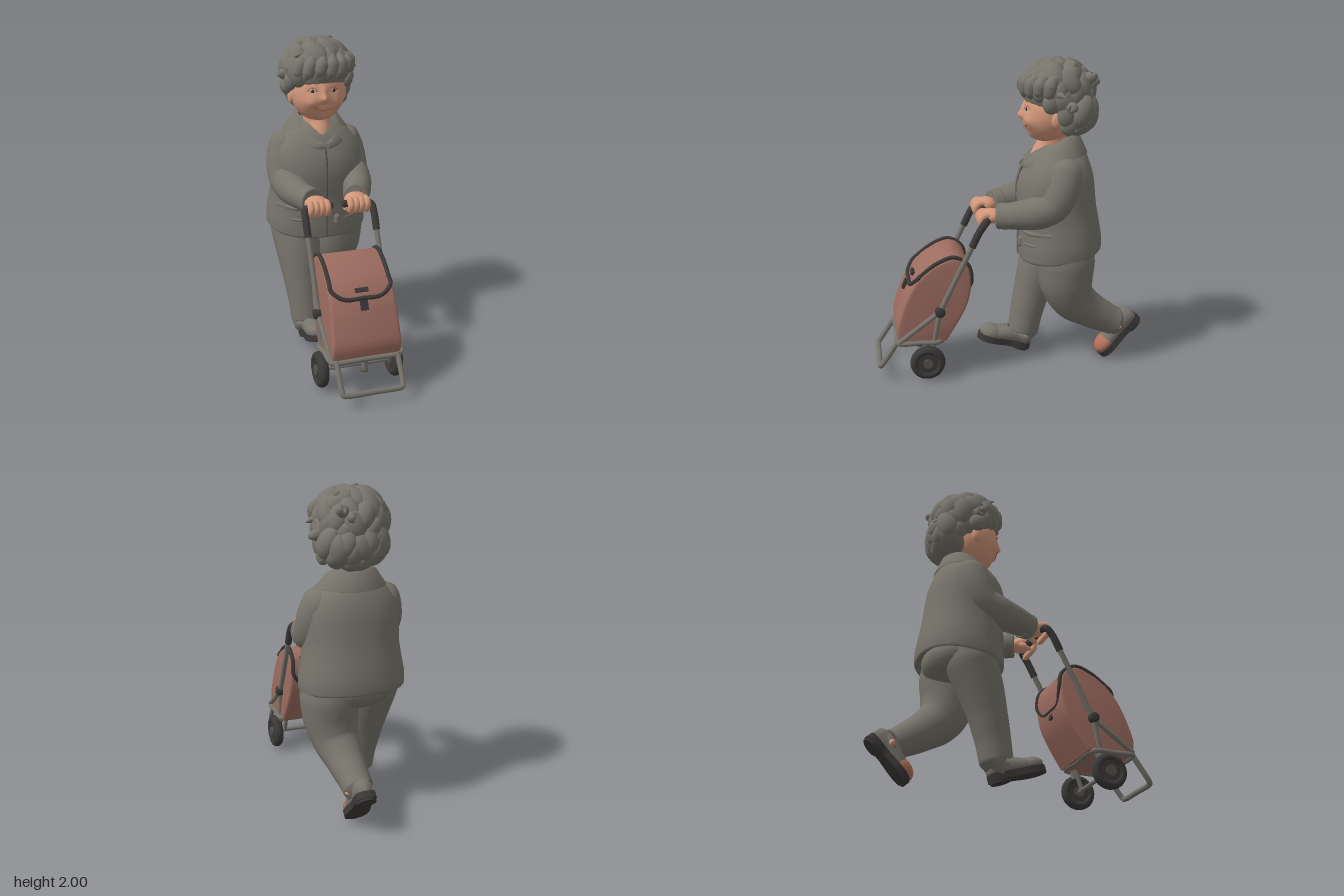
import * as THREE from 'three';
import { mergeVertices, toCreasedNormals } from 'three/addons/utils/BufferGeometryUtils.js';

const V = (x, y, z) => new THREE.Vector3(x, y, z);
const flat = (pts) => pts.map((p) => new THREE.Vector2(...p));
const paint = (name, color, side = THREE.FrontSide) => Object.assign(new THREE.MeshStandardMaterial({ color, side }), { name });

export function createModel() {
  const cloth = paint('greyCloth', 0x77746b, THREE.DoubleSide), hairMat = paint('greyHair', 0x76746b);
  const seamMat = paint('darkGreySeam', 0x54524c), skin = paint('skin', 0xd2977a), lip = paint('lip', 0xa56a56);
  const white = paint('eyeWhite', 0xb9b3a8), dark = paint('darkRubber', 0x3b3938), bagMat = paint('redBrownCanvas', 0x9c6c60);
  const metal = paint('greyMetal', 0x75726a), toeMat = paint('tanLeather', 0xb0705a);
  const group = (name, parent) => {
    const g = Object.assign(new THREE.Group(), { name });
    if (parent) parent.add(g);
    return g;
  };
  const root = group('walkerWithShoppingTrolley');
  const add = (name, geo, mat, parent = root) => {
    const m = Object.assign(new THREE.Mesh(geo, mat), { name });
    parent.add(m);
    return m;
  };
  const blob = (name, mat, p, s, parent = root) => {
    const m = add(name, new THREE.SphereGeometry(1, 24, 16), mat, parent);
    m.position.set(...p);
    m.scale.set(...s);
    return m;
  };
  // Tube whose radius changes from point to point; points are [x, y, z, r]
  const limb = (pts, seg = 28, sides = 20) => {
    const curve = new THREE.CatmullRomCurve3(pts.map((p) => V(p[0], p[1], p[2])), false, 'centripetal');
    curve.getUtoTmapping = (u) => u;
    const g = new THREE.TubeGeometry(curve, seg, 1, sides), pos = g.attributes.position, v = V(0, 0, 0);
    for (let n = 0; n < pos.count; n++) {
      const t = Math.floor(n / (sides + 1)) / seg, f = t * (pts.length - 1), k = Math.min(Math.floor(f), pts.length - 2);
      const c = curve.getPoint(t);
      v.fromBufferAttribute(pos, n).sub(c).multiplyScalar(THREE.MathUtils.lerp(pts[k][3], pts[k + 1][3], f - k)).add(c);
      pos.setXYZ(n, v.x, v.y, v.z);
    }
    g.deleteAttribute('uv');
    g.deleteAttribute('normal');
    const w = mergeVertices(g, 1e-5);
    w.computeVertexNormals();
    return w;
  };
  const rod = (pts, r, closed = false, seg = 40) =>
    new THREE.TubeGeometry(new THREE.CatmullRomCurve3(pts.map((p) => V(...p)), closed, 'centripetal'), seg, r, 10, closed);
  const bar = (name, a, b, r, mat, parent) => add(name, new THREE.TubeGeometry(new THREE.LineCurve3(V(...a), V(...b)), 1, r, 10), mat, parent);
  // Skin over a grid of points, optionally joined round
  const grid = (rows, n, closed, at) => {
    const p = [], idx = [], g = new THREE.BufferGeometry();
    for (let i = 0; i < rows; i++) for (let j = 0; j < n; j++) {
      p.push(...at(i, j));
      if (i === rows - 1 || (!closed && j === n - 1)) continue;
      const A = i * n + j, B = i * n + ((j + 1) % n);
      idx.push(A, B, A + n, B, B + n, A + n);
    }
    g.setAttribute('position', new THREE.Float32BufferAttribute(p, 3));
    g.setIndex(idx);
    g.computeVertexNormals();
    return g;
  };
  // Stacked rounded sections, each [y, centreZ, radiusX, radiusZ]
  const loft = (rows, pow, n) => grid(rows.length, n, true, (i, j) => {
    const [y, cz, rx, rz] = rows[i], a = (j / n) * Math.PI * 2, sq = (t) => Math.sign(t) * Math.abs(t) ** pow;
    return [sq(Math.sin(a)) * rx, y, cz + sq(Math.cos(a)) * rz];
  });

  // Jacket body, hem rising toward the back
  const jacket = loft([[0.82, -0.325, 0.01, 0.01], [0.79, -0.325, 0.28, 0.23], [0.755, -0.325, 0.315, 0.258], [0.77, -0.325, 0.326, 0.267],
    [0.85, -0.325, 0.326, 0.265], [0.95, -0.32, 0.308, 0.255], [1.05, -0.305, 0.296, 0.252], [1.13, -0.297, 0.298, 0.25], [1.2, -0.295, 0.3, 0.245],
    [1.27, -0.3, 0.293, 0.23], [1.33, -0.307, 0.268, 0.205], [1.38, -0.312, 0.226, 0.182], [1.42, -0.315, 0.18, 0.155], [1.46, -0.32, 0.125, 0.11], [1.48, -0.32, 0.01, 0.01]], 0.9, 40);
  const jp = jacket.attributes.position;
  for (let i = 0; i < jp.count; i++) jp.setY(i, jp.getY(i) - 0.13 * Math.max(0, 1 - (jp.getY(i) - 0.75) / 0.35) * (jp.getZ(i) + 0.325));
  jacket.computeVertexNormals();
  add('jacket', jacket, cloth);
  add('zip', rod([[0, 1.33, -0.09], [0, 1.2, -0.052], [0, 1.05, -0.053], [0, 0.95, -0.066], [0, 0.84, -0.061], [0, 0.735, -0.06]], 0.0055), seamMat);
  add('zipPull', new THREE.CapsuleGeometry(0.02, 0.035, 4, 12), cloth).position.set(0.07, 0.84, -0.066);
  // Fold-over collar, open in a V at the front: rows of [radiusX, y, radiusZ, drop, frontReach]
  const folds = [[0.112, 1.52, 0.11, 0.17, 0.1], [0.15, 1.505, 0.14, 0.155, 0.09], [0.215, 1.405, 0.185, 0.085, 0.055], [0.205, 1.395, 0.17, 0.085, 0.05]];
  add('collar', grid(4, 64, false, (i, j) => {
    const a = 0.08 + (j / 63) * (Math.PI * 2 - 0.16), c = Math.cos(a), f = ((1 + c) / 2) ** 3, [rx, y, rz, drop, reach] = folds[i];
    return [Math.sin(a) * rx, y - drop * f, -0.31 + c * (rz + reach * f)];
  }), cloth);

  for (const s of [-1, 1]) {
    // Sleeve, cuff and pocket
    add('sleeve', limb([[s * 0.12, 1.37, -0.32, 0.05], [s * 0.18, 1.31, -0.32, 0.118], [s * 0.212, 1.21, -0.295, 0.12], [s * 0.22, 1.11, -0.24, 0.115],
      [s * 0.218, 1.07, -0.14, 0.105], [s * 0.188, 1.05, -0.01, 0.088], [s * 0.155, 1.04, 0.07, 0.074], [s * 0.15, 1.04, 0.075, 0.001]], 42), cloth);
    add('cuff', limb([[s * 0.168, 1.042, 0.03, 0.06], [s * 0.166, 1.042, 0.035, 0.085], [s * 0.145, 1.04, 0.09, 0.08], [s * 0.143, 1.04, 0.095, 0.045]], 12), cloth);
    add('pocketFlap', rod([[s * 0.1, 0.92, -0.083], [s * 0.2, 0.925, -0.12], [s * 0.285, 0.935, -0.22]], 0.015), cloth);
    add('pocketEdge', rod([[s * 0.1, 0.84, -0.077], [s * 0.2, 0.85, -0.112], [s * 0.295, 0.86, -0.22]], 0.01), cloth);
    // Hand gripping the bar
    const hand = group('hand', root);
    blob('palm', skin, [s * 0.13, 1.038, 0.13], [0.074, 0.045, 0.07], hand);
    for (let i = 0; i < 4; i++) {
      const x = s * (0.076 + i * 0.035);
      add('finger', limb([[x, 1.05, 0.13, 0.012], [x, 1.052, 0.18, 0.022], [x, 1.022, 0.203, 0.023], [x, 0.985, 0.185, 0.022], [x, 0.966, 0.165, 0.001]], 16, 10), skin, hand);
    }
    add('thumb', limb([[s * 0.09, 1.03, 0.1, 0.018], [s * 0.06, 1.01, 0.13, 0.019], [s * 0.055, 0.99, 0.165, 0.016], [s * 0.055, 0.985, 0.175, 0.001]], 14, 10), skin, hand);
  }

  // Trousers and bare ankle
  add('frontLeg', limb([[-0.15, 0.86, -0.32, 0.14], [-0.15, 0.74, -0.29, 0.163], [-0.145, 0.58, -0.23, 0.145], [-0.14, 0.42, -0.18, 0.122],
    [-0.13, 0.26, -0.14, 0.108], [-0.125, 0.13, -0.115, 0.1], [-0.125, 0.135, -0.115, 0.001]], 36), cloth);
  add('rearLeg', limb([[0.14, 0.86, -0.34, 0.17], [0.145, 0.72, -0.345, 0.185], [0.14, 0.58, -0.35, 0.172], [0.125, 0.455, -0.4, 0.146],
    [0.105, 0.36, -0.51, 0.118], [0.09, 0.28, -0.64, 0.098], [0.085, 0.247, -0.7, 0.092], [0.085, 0.252, -0.69, 0.001]], 42), cloth);
  blob('rearAnkle', skin, [0.085, 0.242, -0.71], [0.092, 0.03, 0.025]);
  blob('seat', cloth, [0, 0.78, -0.36], [0.27, 0.14, 0.19]);

  // Shoes, modelled flat then pitched
  const soleShape = new THREE.Shape(flat([[0, -0.005]]));
  soleShape.splineThru(flat([[0.05, 0.01], [0.064, 0.07], [0.06, 0.15], [0.076, 0.26], [0.06, 0.33], [0, 0.362], [-0.06, 0.33], [-0.076, 0.26], [-0.06, 0.15], [-0.064, 0.07], [-0.05, 0.01], [0, -0.005]]));
  const shoe = (name, p, pitch, toe) => {
    const g = group(name, root);
    g.position.set(...p);
    g.rotation.x = pitch;
    add('upper', loft([[0, -0.07, 0.001, 0.001], [0.006, -0.08, 0.042, 0.05], [0.05, -0.09, 0.058, 0.068], [0.12, -0.09, 0.06, 0.066],
      [0.2, -0.078, 0.066, 0.058], [0.28, -0.068, 0.068, 0.048], [0.33, -0.06, 0.053, 0.036], [0.355, -0.055, 0.001, 0.001]], 1, 24).rotateX(Math.PI / 2), cloth, g);
    blob('toeCap', toe, [0, 0.072, 0.272], [0.073, 0.053, 0.084], g);
    const sole = new THREE.ExtrudeGeometry(soleShape, { depth: 0.042, bevelEnabled: false, curveSegments: 24 });
    add('sole', toCreasedNormals(sole.rotateX(Math.PI / 2).translate(0, 0.056, 0), 0.7), dark, g);
    add('heel', new THREE.CylinderGeometry(0.064, 0.06, 0.045, 24), dark, g).position.set(0, 0.022, 0.062);
    for (let i = 0; i < 4; i++) {
      const y = 0.134 - i * 0.012, z = 0.15 + i * 0.025;
      add('lace', rod([[-0.035, y, z], [0, y + 0.02, z + 0.002], [0.035, y, z]], 0.007, false, 8), seamMat, g);
    }
  };
  shoe('frontShoe', [-0.12, 0, -0.15], -0.27, cloth);
  shoe('rearShoe', [0.085, 0.262, -0.868], 0.83, toeMat);

  // Face: an egg with soft bumps [x, y, widthX, widthY, height]
  add('neck', limb([[0, 1.56, -0.28, 0.095], [0, 1.46, -0.27, 0.088], [0, 1.38, -0.215, 0.075], [0, 1.335, -0.19, 0.065], [0, 1.32, -0.19, 0.001]]), skin);
  const head = group('head', root);
  const bumps = [[-0.006, 1.64, 0.024, 0.022, 0.026], [-0.006, 1.68, 0.016, 0.04, 0.012], [0, 1.502, 0.045, 0.03, 0.016], [0, 1.575, 0.045, 0.018, 0.006]];
  for (const s of [-1, 1]) bumps.push([s * 0.09, 1.612, 0.045, 0.038, 0.016], [s * 0.067 - 0.008, 1.69, 0.03, 0.02, -0.008]);
  const bump = (x, y) => bumps.reduce((t, [bx, by, sx, sy, h]) => t + h * Math.exp(-(((x - bx) / sx) ** 2) - ((y - by) / sy) ** 2), 0);
  const faceZ = (x, y) => -0.25 + 0.165 * Math.sqrt(1 - (x / 0.174) ** 2 - ((y - 1.652) / 0.185) ** 2) + bump(x, y);
  const face = new THREE.SphereGeometry(1, 96, 72).scale(0.174, 0.185, 0.165).translate(0, 1.652, -0.25), fp = face.attributes.position;
  for (let i = 0; i < fp.count; i++) {
    const front = THREE.MathUtils.smoothstep(fp.getZ(i), -0.25, -0.17);
    fp.setZ(i, fp.getZ(i) + front * bump(fp.getX(i), fp.getY(i)));
  }
  face.computeVertexNormals();
  add('face', face, skin, head);
  const onFace = (name, pts, r, mat) => add(name, rod(pts.map(([x, y]) => [x, y, faceZ(x, y)]), r, false, 24), mat, head);
  onFace('smile', [[-0.072, 1.594], [-0.045, 1.576], [-0.005, 1.568], [0.04, 1.576], [0.068, 1.594]], 0.005, lip);
  for (const s of [-1, 1]) {
    const x = s * 0.067 - 0.008, z = faceZ(x, 1.688);
    blob('ear', skin, [s * 0.172, 1.63, -0.27], [0.022, 0.05, 0.036], head);
    blob('eye', white, [x, 1.688, z], [0.026, 0.014, 0.007], head).rotation.y = s * 0.4;
    blob('pupil', dark, [x, 1.688, z + 0.005], [0.011, 0.012, 0.005], head);
    onFace('lid', [[x - 0.03, 1.688], [x, 1.706], [x + 0.03, 1.688]], 0.004, lip);
    onFace('brow', [[x - 0.034, 1.73], [x, 1.739], [x + 0.034, 1.73]], 0.004, lip);
  }

  // Curly hair: two masses, broad curls and loose tufts
  const hair = group('hair', root);
  let seed = 7;
  const rnd = () => (seed = (seed * 16807) % 2147483647) / 2147483647;
  const curls = (c, r, count, skip) => {
    blob('hairMass', hairMat, c, r, hair);
    for (let i = 0; i < count; i++) {
      const y = 1 - (2 * (i + 0.5)) / count, q = Math.sqrt(1 - y * y), a = i * 2.39996, d = V(Math.cos(a) * q, y, Math.sin(a) * q);
      const size = 0.06 + rnd() * 0.025, k = 0.82 + rnd() * 0.06;
      if (skip(d)) continue;
      const m = blob('curl', hairMat, [c[0] + d.x * r[0] * k, c[1] + d.y * r[1] * k, c[2] + d.z * r[2] * k], [size * 0.9, size * 1.3, size * 0.8], hair);
      m.lookAt(m.position.clone().add(d));
      m.rotateZ(rnd() * 1.6 - 0.8);
    }
  };
  curls([0, 1.788, -0.305], [0.208, 0.18, 0.216], 50, (d) => d.y < 0.05 && d.z > 0.1);
  curls([0.02, 1.67, -0.395], [0.185, 0.118, 0.128], 32, (d) => d.z > 0.35 || d.y > 0.6);
  // Side locks in front of the ears, longer on the left
  for (const [x, y, z, h] of [[-0.185, 1.74, -0.23, 0.065], [-0.2, 1.7, -0.28, 0.055], [0.185, 1.74, -0.23, 0.065], [0.2, 1.67, -0.32, 0.075], [0.185, 1.6, -0.34, 0.06]])
    blob('sideLock', hairMat, [x, y, z], [0.04, h, 0.055], hair);
  // Fringe locks swept across the brow
  for (let i = 0; i < 8; i++) {
    const a = (i - 3.5) * 0.37, x = Math.sin(a) * 0.185, z = -0.27 + Math.cos(a) * 0.17, drop = 0.025 * Math.abs(Math.sin(i * 2.1));
    add('fringeLock', limb([[x * 0.85 + 0.03, 1.9, z - 0.04, 0.02], [x + 0.015, 1.85, z, 0.046], [x * 1.06, 1.805 - drop * 0.5, z + 0.005, 0.04], [x * 1.03 - 0.025, 1.77 - drop, z, 0.004]], 18, 12), hairMat, hair);
  }
  [[0.275, 1.79, -0.3], [0.26, 1.7, -0.33], [-0.25, 1.765, -0.28], [-0.225, 1.67, -0.25], [-0.02, 1.99, -0.3], [0.1, 1.975, -0.36],
    [-0.1, 1.97, -0.31], [0.05, 1.85, -0.535], [-0.08, 1.72, -0.54], [0.12, 1.9, -0.5], [0.22, 1.57, -0.38], [-0.18, 1.9, -0.16]].forEach((tip, i) => {
    const o = V(0.01, 1.77, -0.31), b = o.clone().lerp(V(...tip), 0.68), m = o.clone().lerp(V(...tip), 0.88), w = (i % 2 ? 1 : -1) * 0.025;
    add('tuft', limb([[b.x, b.y, b.z, 0.05], [m.x + w, m.y + 0.01, m.z - w, 0.026], [...tip, 0.002]], 12, 10), hairMat, hair);
  });

  // Trolley bag: side profile drawn as (z, y), pushed out across x
  const trolley = group('trolley', root);
  const prof = new THREE.Shape(flat([[0.44, 0.265], [0.715, 0.265]]));
  prof.splineThru(flat([[0.725, 0.33], [0.71, 0.4], [0.65, 0.555], [0.57, 0.67], [0.465, 0.745], [0.37, 0.775], [0.3, 0.73], [0.285, 0.62], [0.32, 0.47], [0.44, 0.265]]));
  const bag = new THREE.ExtrudeGeometry(prof, { depth: 0.38, bevelSize: 0.018, bevelThickness: 0.018, bevelSegments: 3, curveSegments: 40 });
  bag.translate(0, 0, -0.19).rotateY(-Math.PI / 2);
  const bp = bag.attributes.position;
  for (let i = 0; i < bp.count; i++) bp.setX(i, bp.getX(i) * (1.05 - 0.2 * Math.max(0, bp.getY(i) - 0.3)));
  add('bag', toCreasedNormals(bag, 0.6), bagMat, trolley);
  // Flap binding over the front and back, with buckles and a tab
  const side = [[0.61, 0.66], [0.57, 0.697], [0.47, 0.768], [0.37, 0.797], [0.284, 0.74], [0.265, 0.64]];
  add('flapBinding', rod([[-0.12, 0.612, 0.645], ...side.map(([z, y]) => [-0.187, y, z]), [-0.12, 0.565, 0.282], [0, 0.555, 0.284], [0.12, 0.565, 0.282],
    ...side.slice().reverse().map(([z, y]) => [0.187, y, z]), [0.12, 0.612, 0.645], [0, 0.607, 0.647]], 0.013, true, 120), dark, trolley);
  for (const [name, w, h, y, z, tilt] of [['buckle', 0.045, 0.06, 0.57, 0.67, -0.4], ['buckle', 0.045, 0.06, 0.53, 0.292, 0.2], ['flapTab', 0.08, 0.025, 0.648, 0.62, -0.65]]) {
    const b = add(name, new THREE.BoxGeometry(w, h, 0.024), dark, trolley);
    b.position.set(0, y, z);
    b.rotation.x = tilt;
  }
  // Frame, grips and wheels
  for (const s of [-1, 1]) {
    const x = s * 0.222, pivot = [x, 0.455, 0.47];
    bar('pole', [x, 0.9, 0.25], pivot, 0.017, metal, trolley);
    bar('brace', pivot, [x, 0.26, 0.73], 0.016, metal, trolley);
    bar('strut', pivot, [s * 0.21, 0.2, 0.52], 0.016, metal, trolley);
    bar('axleStrut', [s * 0.17, 0.25, 0.51], [s * 0.17, 0.12, 0.555], 0.014, metal, trolley);
    bar('pivotKnob', [s * 0.21, 0.455, 0.47], [s * 0.245, 0.455, 0.47], 0.032, dark, trolley);
    blob('knobCap', dark, [s * 0.245, 0.455, 0.47], [0.01, 0.032, 0.032], trolley);
    add('grip', rod([[x, 0.87, 0.264], [x, 0.97, 0.214], [s * 0.215, 1.015, 0.18], [s * 0.18, 1.025, 0.16], [s * 0.04, 1.025, 0.16]], 0.023), dark, trolley);
    blob('gripEnd', dark, [s * 0.04, 1.025, 0.16], [0.012, 0.023, 0.023], trolley);
    const wheel = group('wheel', trolley);
    wheel.position.set(s * 0.238, 0.122, 0.555);
    wheel.rotation.y = Math.PI / 2;
    add('tyre', new THREE.TorusGeometry(0.083, 0.028, 14, 36).scale(1, 1, 1.15), dark, wheel);
    add('rim', new THREE.CylinderGeometry(0.07, 0.07, 0.044, 28), dark, wheel).rotation.x = Math.PI / 2;
    add('hub', new THREE.CylinderGeometry(0.03, 0.034, 0.064, 18), seamMat, wheel).rotation.x = Math.PI / 2;
  }
  bar('axle', [-0.25, 0.122, 0.555], [0.25, 0.122, 0.555], 0.014, metal, trolley);
  add('baseFrame', rod([[-0.215, 0.25, 0.47], [-0.22, 0.25, 0.6], [-0.22, 0.25, 0.72], [-0.2, 0.25, 0.735], [0, 0.25, 0.735], [0.2, 0.25, 0.735],
    [0.22, 0.25, 0.72], [0.22, 0.25, 0.6], [0.215, 0.25, 0.47], [0, 0.25, 0.46]], 0.016, true, 80), metal, trolley);
  add('footLoop', rod([[-0.192, 0.26, 0.735], [-0.192, 0.12, 0.83], [-0.185, 0.095, 0.848], [-0.165, 0.09, 0.851], [0, 0.09, 0.851],
    [0.165, 0.09, 0.851], [0.185, 0.095, 0.848], [0.192, 0.12, 0.83], [0.192, 0.26, 0.735]], 0.017, false, 80), metal, trolley);
  bar('centreLeg', [0, 0.25, 0.685], [0, 0.15, 0.685], 0.018, metal, trolley);
  bar('centreRail', [0, 0.25, 0.47], [0, 0.25, 0.73], 0.014, metal, trolley);
  blob('legFoot', seamMat, [0, 0.15, 0.685], [0.025, 0.012, 0.025], trolley);
  return root;
}
